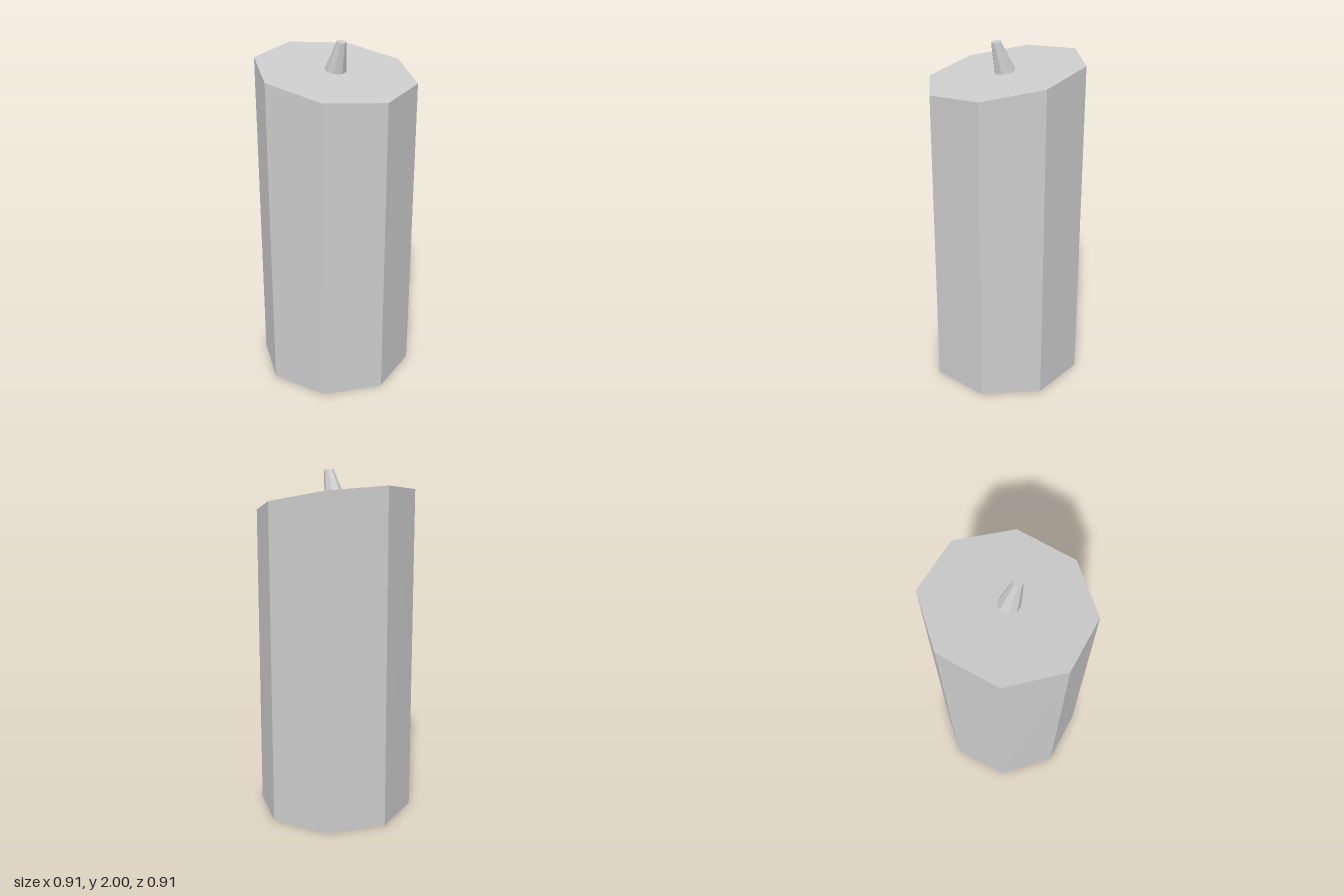
import * as THREE from 'three';

const SLOPE = 0.184; // the top slants down toward the front

const material = new THREE.MeshStandardMaterial({ color: 0xcccccc, flatShading: true });

// Octagonal prism whose vertices are moved by a rule
function octagon(name, rTop, rBottom, move) {
  const geometry = new THREE.CylinderGeometry(rTop, rBottom, 1, 8);
  const pos = geometry.attributes.position;
  const v = new THREE.Vector3();
  for (let i = 0; i < pos.count; i++) {
    v.fromBufferAttribute(pos, i);
    move(v, v.y > 0);
    pos.setXYZ(i, v.x, v.y, v.z);
  }
  geometry.computeVertexNormals();
  const mesh = new THREE.Mesh(geometry, material);
  mesh.name = name;
  return mesh;
}

export function createModel() {
  const group = new THREE.Group();
  group.name = 'candle';

  // Wax body: flat base, slanted top drawn in slightly front to back
  group.add(octagon('waxBody', 0.456, 0.456, (v, top) => {
    if (top) v.z *= 0.984;
    v.y = top ? 1.83 - SLOPE * v.z : 0;
  }));

  // Wick: tapered, leaning forward, both ends parallel to the slanted top
  group.add(octagon('wick', 0.027, 0.06, (v, top) => {
    v.y = (top ? 1.995 : 1.83) - SLOPE * v.z;
    if (top) v.z += 0.056;
  }));

  return group;
}
